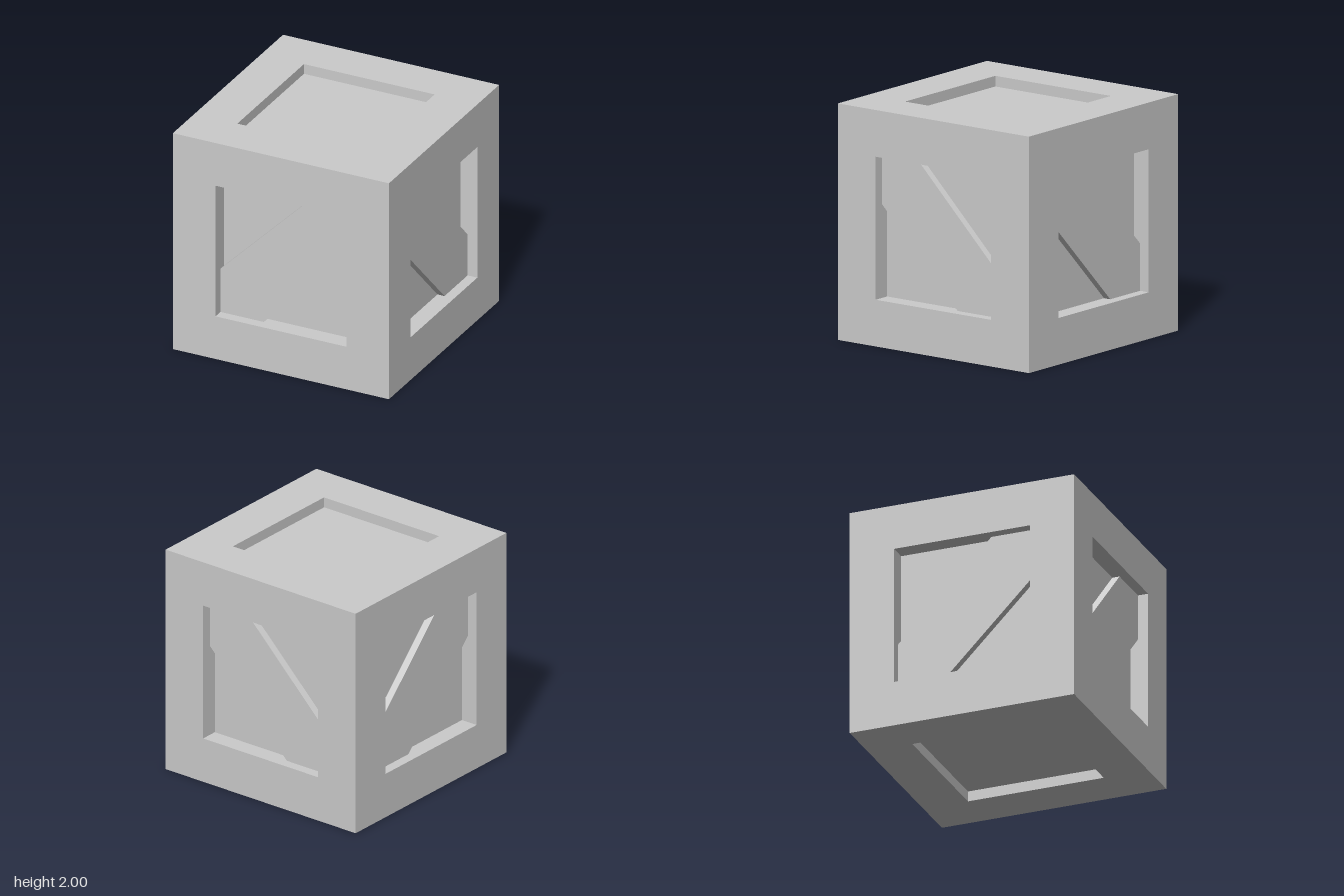
import * as THREE from 'three';

const HALF = 1;          // half size of the crate
const OPEN = 0.605;      // half size of each opening
const FRAME_DEPTH = 0.2;
const PANEL_DEPTH = 0.155; // recess of the side panels
const PLANK_DEPTH = 0.09;  // recess of the planks, top and bottom

const material = new THREE.MeshStandardMaterial({ color: 0xcccccc, flatShading: true });

function square(h, Type) {
  return new Type([[-h, -h], [h, -h], [h, h], [-h, h]].map(([x, y]) => new THREE.Vector2(x, y)));
}

// Square ring whose outer edge is mitred at 45 degrees, so six of them close into a cube
function frameGeometry() {
  const shape = square(HALF, THREE.Shape);
  shape.holes.push(square(OPEN, THREE.Path));
  const geo = new THREE.ExtrudeGeometry(shape, { depth: FRAME_DEPTH, bevelEnabled: false });
  geo.translate(0, 0, HALF - FRAME_DEPTH);
  const pos = geo.attributes.position;
  for (let i = 0; i < pos.count; i++) {
    const z = pos.getZ(i);
    const limit = (v) => THREE.MathUtils.clamp(v, -z, z);
    pos.setXY(i, limit(pos.getX(i)), limit(pos.getY(i)));
  }
  geo.computeVertexNormals();
  return geo;
}

// Diagonal board clipped to the opening; sign mirrors the slope, shift moves it up
function plankGeometry(sign, shift) {
  const h = OPEN, w = 0.4;
  const pts = [
    [-h, -h], [w - h - shift, -h], [h, h + shift - w],
    [h, h], [h - shift - w, h], [-h, shift + w - h],
  ].map(([x, y]) => new THREE.Vector2(x * sign, y));
  const geo = new THREE.ExtrudeGeometry(new THREE.Shape(pts), {
    depth: PANEL_DEPTH - PLANK_DEPTH, bevelEnabled: false,
  });
  return geo.translate(0, 0, HALF - PANEL_DEPTH);
}

export function createModel() {
  const crate = new THREE.Group();
  crate.name = 'crate';

  const add = (name, geo, rx = 0, ry = 0) => {
    const mesh = new THREE.Mesh(geo, material);
    mesh.name = name;
    mesh.rotation.set(rx, ry, 0);
    mesh.position.y = HALF;
    crate.add(mesh);
  };

  // Inner box: its faces are the recessed panels
  const side = 2 * (HALF - PANEL_DEPTH);
  add('innerPanels', new THREE.BoxGeometry(side, 2 * (HALF - PLANK_DEPTH), side));

  // Frames and diagonal planks on the four sides
  const frame = frameGeometry();
  const Q = Math.PI / 2;
  const sides = [
    ['front', 0, 1, 0], ['left', Q, -1, -0.02],
    ['back', 2 * Q, -1, 0], ['right', -Q, 1, -0.02],
  ];
  for (const [name, angle, sign, shift] of sides) {
    add(name + 'Frame', frame, 0, angle);
    add(name + 'Plank', plankGeometry(sign, shift), 0, angle);
  }

  // Plain frames on top and bottom
  add('topFrame', frame, -Q);
  add('bottomFrame', frame, Q);
  return crate;
}
